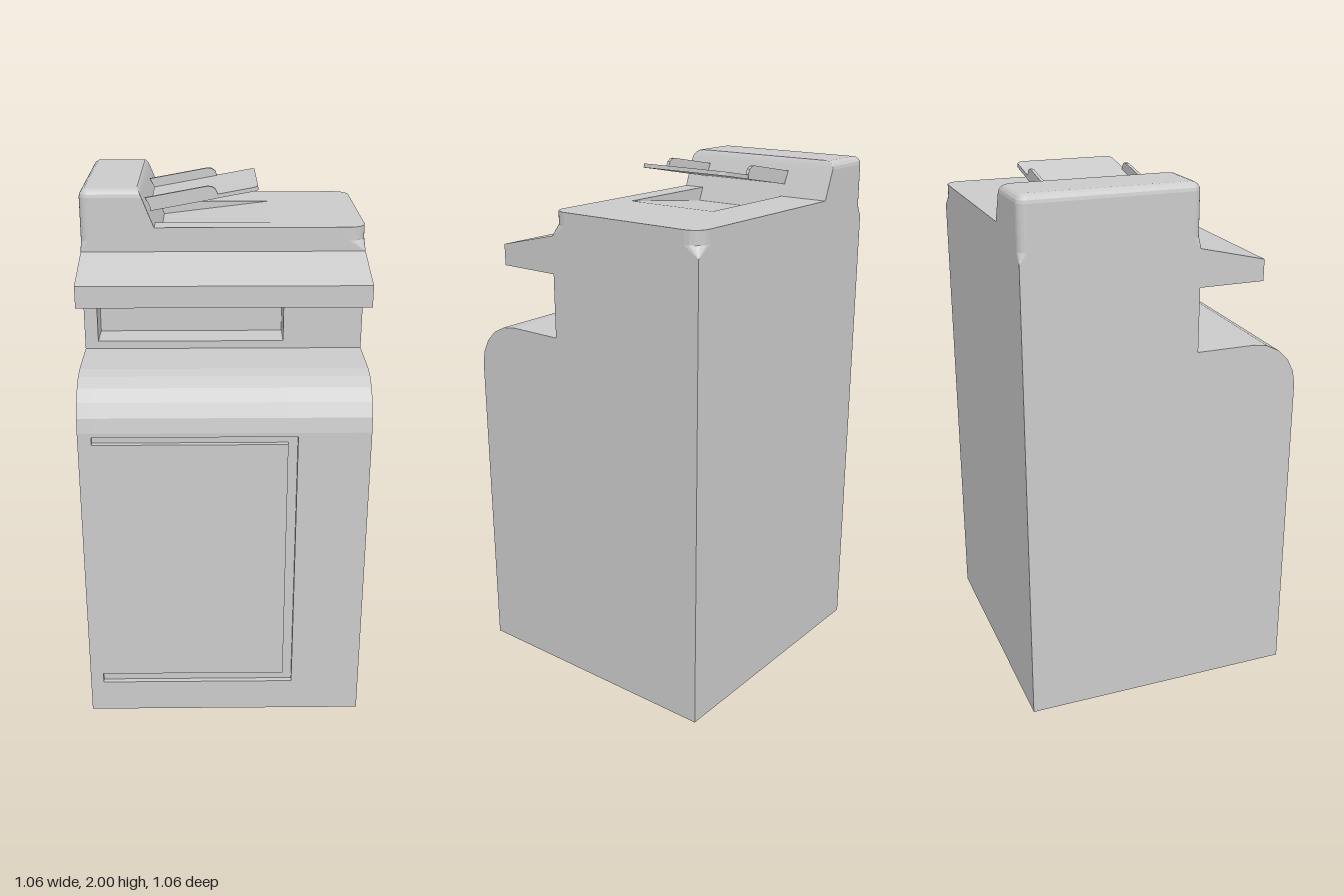
import * as THREE from 'three';

const W = 0.53, BACK = -0.53, HEAD = 0.125; // half width, back z, head front z
const mat = new THREE.MeshStandardMaterial({ color: 0xcccccc, flatShading: true });
const thin = new THREE.MeshStandardMaterial({ color: 0xcccccc, flatShading: true, side: THREE.DoubleSide });

const poly = (pts) => new THREE.Shape(pts.map(([x, y]) => new THREE.Vector2(x, y)));
const extrude = (shape, depth) =>
  new THREE.ExtrudeGeometry(shape, { depth, bevelEnabled: false, curveSegments: 6 });

// Rounded rectangle in x/z with separate radii for the left and right corners
function ring(x0, x1, z0, z1, rl, rr) {
  const pts = [];
  const corners = [[x1 - rr, z1 - rr, rr], [x0 + rl, z1 - rl, rl], [x0 + rl, z0 + rl, rl], [x1 - rr, z0 + rr, rr]];
  corners.forEach(([cx, cz, r], k) => {
    for (let i = 0; i <= 5; i++) {
      const a = (k + i / 5) * Math.PI / 2;
      pts.push([cx + r * Math.cos(a), cz + r * Math.sin(a)]);
    }
  });
  return pts;
}

// Skin over stacked rings [y, points], with an optional flat top
function loft(rings, cap) {
  const pos = [];
  const n = rings[0][1].length;
  const v = (k, i) => { const [x, z] = rings[k][1][i % n]; return [x, rings[k][0], z]; };
  for (let k = 0; k < rings.length - 1; k++) {
    for (let i = 0; i < n; i++) {
      const a = v(k, i), b = v(k, i + 1), c = v(k + 1, i), d = v(k + 1, i + 1);
      pos.push(...a, ...c, ...b, ...b, ...c, ...d);
    }
  }
  if (cap) {
    const t = rings.length - 1, p = v(t, 0), q = v(t, n / 2);
    const mid = p.map((s, i) => (s + q[i]) / 2);
    for (let i = 0; i < n; i++) pos.push(...v(t, i), ...mid, ...v(t, i + 1));
  }
  return facets(pos);
}

function facets(pos) {
  const g = new THREE.BufferGeometry();
  g.setAttribute('position', new THREE.Float32BufferAttribute(pos, 3));
  g.computeVertexNormals();
  return g;
}

// Side outline (z, y) of the cabinet; recess is the depth of the slot in the throat
function sideProfile(recess) {
  const pts = [[BACK, 0], [0.51, 0], [0.51, 1.2], [0.53, 1.2]];
  for (let i = 0; i <= 5; i++) {
    const a = i / 5 * Math.PI / 2;
    pts.push([0.35 + 0.18 * Math.cos(a), 1.21 + 0.18 * Math.sin(a)]);
  }
  pts.push([HEAD, 1.39]);
  if (recess) pts.push([HEAD, 1.42], [HEAD - recess, 1.42], [HEAD - recess, 1.63]);
  pts.push([HEAD, 1.63], [0.375, 1.63], [0.375, 1.71], [HEAD, 1.77], [BACK, 1.77]);
  return poly(pts);
}

export function createModel() {
  const model = new THREE.Group();
  const add = (name, geo, m = mat) => {
    const mesh = new THREE.Mesh(geo, m);
    mesh.name = name;
    model.add(mesh);
    return mesh;
  };

  // Cabinet with control shelf, in three slices so the middle one holds the slot
  [[-W, -0.48, 0], [-0.48, 0.23, 0.125], [0.23, W, 0]].forEach(([x0, x1, recess]) => {
    const g = extrude(sideProfile(recess), x1 - x0);
    g.rotateY(-Math.PI / 2).translate(x1, 0, 0);
    add('cabinet', g);
  });

  // Front panel with a three-sided groove around the door
  const panel = poly([[-W, 0], [W, 0], [W, 1.2], [-W, 1.2]]);
  panel.holes.push(poly([[-0.48, 0.13], [-0.48, 0.17], [0.23, 0.17], [0.23, 1.165],
    [-0.48, 1.165], [-0.48, 1.195], [0.265, 1.195], [0.265, 0.13]]));
  add('frontPanel', extrude(panel, 0.02).translate(0, 0, 0.51));

  // Head: sharp corners below flare into rounded ones above
  const headRing = ring(-W, W, BACK, HEAD, 0.03, 0.06);
  add('head', loft([[1.77, ring(-W, W, BACK, HEAD, 0.001, 0.001)], [1.81, headRing], [1.86, headRing]]));

  // Lid surface with an opening for the sloping output well
  const z0 = -0.335, z1 = 0.04;
  const lid = poly(headRing.map(([x, z]) => [x, -z]));
  lid.holes.push(poly([[-0.255, -z0], [0.19, -z0], [0.19, -z1], [-0.255, -z1]]));
  add('lid', new THREE.ShapeGeometry(lid).rotateX(-Math.PI / 2).translate(0, 1.86, 0));

  // Output well: two wedge walls, a ramp floor and a short end
  const wedge = [[-0.255, 1.86], [-0.235, 1.81], [0.19, 1.86]];
  [z0, z1].forEach((z) => add('wellWall', new THREE.ShapeGeometry(poly(wedge)).translate(0, 0, z), thin));
  for (let i = 0; i < 2; i++) {
    const [a, b] = [wedge[i], wedge[i + 1]];
    add('wellFloor', facets([...a, z0, ...a, z1, ...b, z1, ...a, z0, ...b, z1, ...b, z0]), thin);
  }

  // Tower on the right side with a slanted inner face and rounded top edges
  const slant = (y) => -0.255 - (y - 1.86) * 0.4;
  const tower = [[1.86, ring(-W, slant(1.86), BACK, HEAD, 0.03, 0.001)]];
  for (let i = 0; i <= 4; i++) {
    const a = i / 4 * Math.PI / 2;
    const s = 0.03 * (1 - Math.cos(a)), y = 1.97 + 0.03 * Math.sin(a);
    tower.push([y, ring(-W + s, slant(y) - s * 0.2, BACK + s, HEAD - s, 0.031 - s, 0.001 + s * 0.5)]);
  }
  add('tower', loft(tower, true));

  // Tilted tray with rounded outer corners
  const tray = new THREE.Shape();
  const len = 0.41, half = 0.19, r = 0.025;
  tray.moveTo(0, -half).lineTo(len - r, -half);
  tray.absarc(len - r, -half + r, r, -Math.PI / 2, 0, false);
  tray.absarc(len - r, half - r, r, 0, Math.PI / 2, false);
  tray.lineTo(0, half);
  const trayGeo = extrude(tray, 0.015).rotateX(-Math.PI / 2).rotateZ(0.18);
  add('tray', trayGeo.translate(-0.27, 1.905, -0.15));

  // Side rails of the tray
  const rail = poly([[-0.265, 1.905], [-0.02, 1.95], [-0.02, 1.968], [-0.028, 1.985],
    [-0.042, 1.994], [-0.06, 1.995], [-0.29, 1.953]]);
  [-0.341, 0.029].forEach((z) => add('trayRail', extrude(rail, 0.012).translate(0, 0, z)));

  return model;
}
